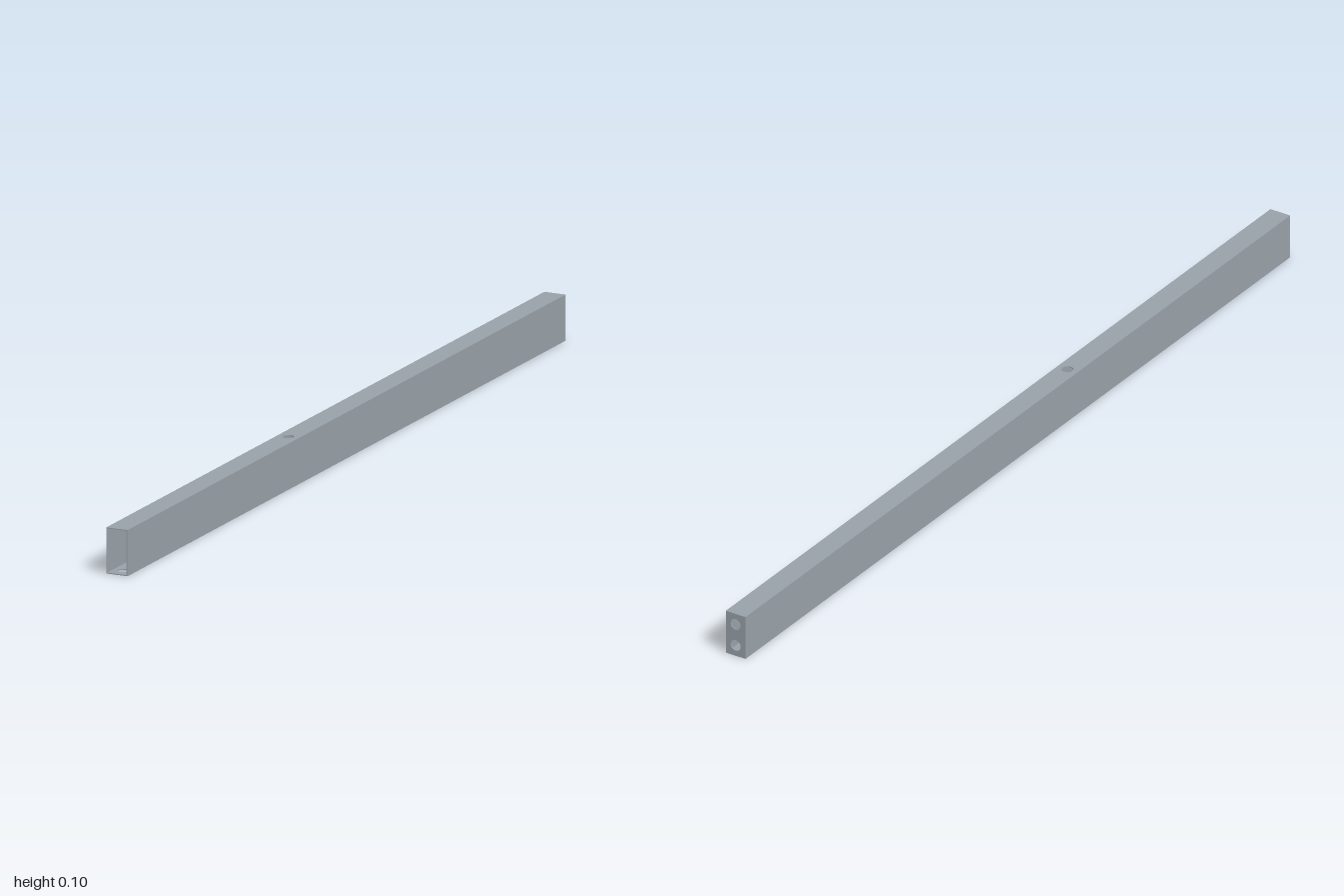
import * as THREE from 'three';

const W = 0.048, H = 0.097, L = 2, T = 0.002, R = 0.0122;

// Flat plate in its own XY plane, pierced by round holes at the given [x, y] centres
function piercedPlate(w, h, holes) {
  const shape = new THREE.Shape([
    new THREE.Vector2(-w / 2, -h / 2), new THREE.Vector2(w / 2, -h / 2),
    new THREE.Vector2(w / 2, h / 2), new THREE.Vector2(-w / 2, h / 2),
  ]);
  for (const [x, y] of holes) {
    shape.holes.push(new THREE.Path().absarc(x, y, R, 0, Math.PI * 2, true));
  }
  return new THREE.ExtrudeGeometry(shape, { depth: T, bevelEnabled: false, curveSegments: 24 });
}

export function createModel() {
  const group = new THREE.Group();
  group.name = 'hollowBeam';
  const material = new THREE.MeshStandardMaterial({ color: 0x98a1a8 });
  const add = (name, geometry, x, y, z) => {
    const mesh = new THREE.Mesh(geometry, material);
    mesh.name = name;
    mesh.position.set(x, y, z);
    group.add(mesh);
  };

  // Side walls
  for (const [name, s] of [['leftWall', 1], ['rightWall', -1]]) {
    add(name, new THREE.BoxGeometry(T, H, L), s * (W - T) / 2, H / 2, 0);
  }

  // Top and bottom walls: a shared cross hole, plus two holes under the open front end
  const inner = W - 2 * T;
  add('topWall', piercedPlate(inner, L, [[0, 0.218]]).rotateX(Math.PI / 2), 0, H, 0);
  add('bottomWall', piercedPlate(inner, L, [[0, 0.218], [0, 0.904], [0, 0.971]]).rotateX(Math.PI / 2), 0, T, 0);

  // Back end cap with two holes; the front end stays open
  add('backCap', piercedPlate(inner, H - 2 * T, [[0, 0.0243], [0, -0.0243]]), 0, H / 2, -L / 2);

  return group;
}
